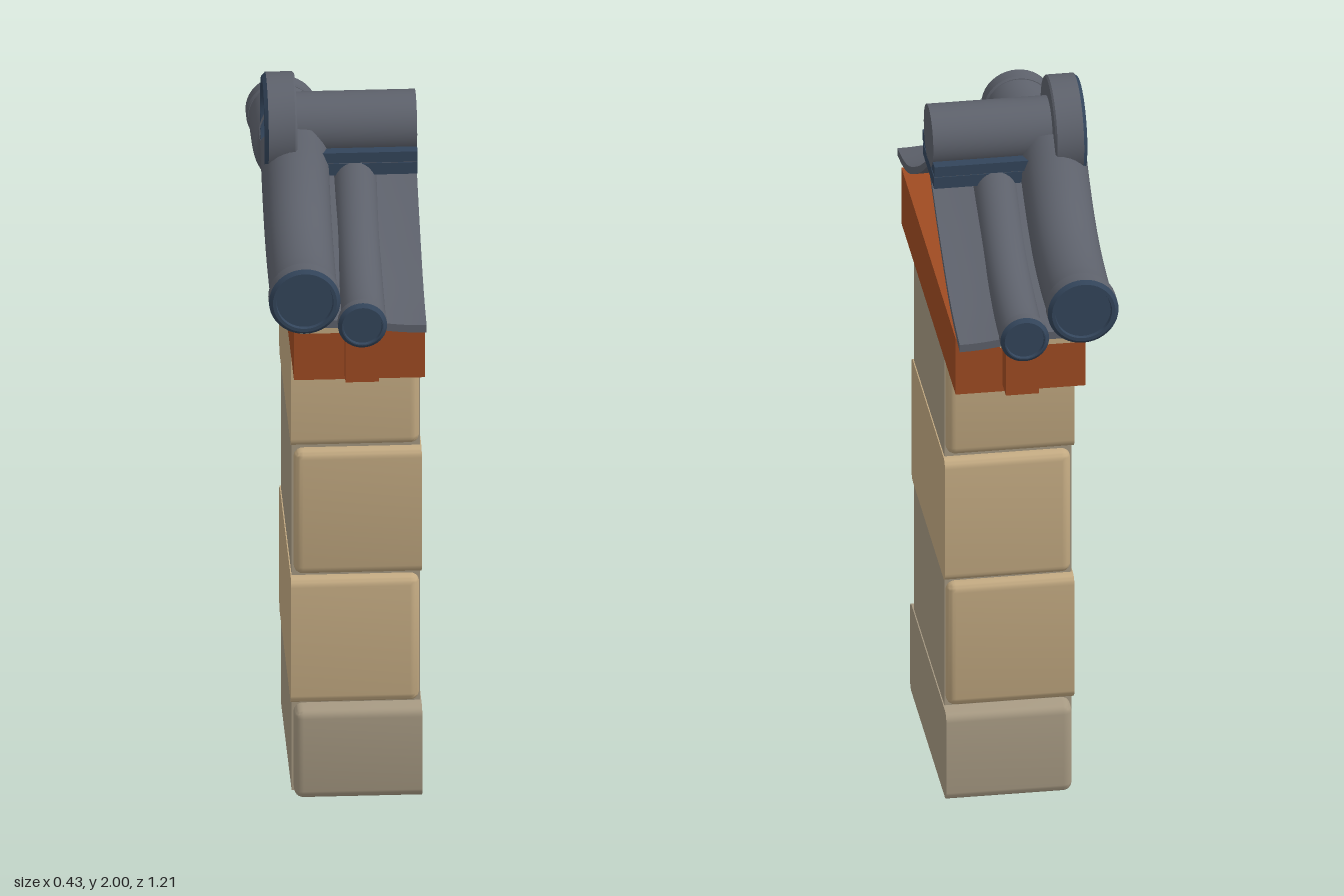
import * as THREE from 'three';
import { RoundedBoxGeometry } from 'three/addons/geometries/RoundedBoxGeometry.js';
import { toCreasedNormals } from 'three/addons/utils/BufferGeometryUtils.js';

const paint = (name, color, side = THREE.FrontSide) => {
  const m = new THREE.MeshStandardMaterial({ color, side });
  m.name = name;
  return m;
};

export function createModel() {
  const model = new THREE.Group();
  model.name = 'wallPillar';
  const tan = paint('sandstone', 0xc2a981);
  const stone = paint('greyStone', 0xa69982);
  const wood = paint('redWood', 0x9f4b22);
  const slate = paint('slateTile', 0x5d616b, THREE.DoubleSide);
  const navy = paint('navyTile', 0x33455b);

  const add = (name, geometry, material, x = 0, y = 0, z = 0) => {
    const mesh = new THREE.Mesh(geometry, material);
    mesh.name = name;
    mesh.position.set(x, y, z);
    model.add(mesh);
    return mesh;
  };
  // Box given by its limits
  const block = (name, mat, x0, x1, y0, y1, z0, z1) =>
    add(name, new THREE.BoxGeometry(x1 - x0, y1 - y0, z1 - z0), mat,
      (x0 + x1) / 2, (y0 + y1) / 2, (z0 + z1) / 2);

  // Rounded stone; one end is flattened where the wall is cut flush
  const course = (name, mat, x0, x1, y0, y1, hz, cutLeft) => {
    const extra = 0.05;
    const a = cutLeft ? x0 : x0 - extra;
    const b = cutLeft ? x1 + extra : x1;
    let g = new RoundedBoxGeometry(b - a, y1 - y0, hz * 2, 3, 0.025);
    g.translate((a + b) / 2, (y0 + y1) / 2, 0);
    const p = g.attributes.position;
    for (let i = 0; i < p.count; i++) p.setX(i, THREE.MathUtils.clamp(p.getX(i), x0, x1));
    g.computeVertexNormals();
    add(name, toCreasedNormals(g, 0.6), mat);
  };

  // Pillar
  block('pillarCore', stone, -0.137, 0.208, 0.005, 1.34, -0.27, 0.27);
  course('baseStone', stone, -0.132, 0.211, 0, 0.265, 0.325, true);
  course('lowerStone', tan, -0.14, 0.205, 0.272, 0.645, 0.3, false);
  course('middleStone', tan, -0.132, 0.211, 0.655, 1.025, 0.3, true);
  course('upperStone', tan, -0.14, 0.205, 1.038, 1.37, 0.3, false);

  // Beam with a small bracket at each end
  block('beam', wood, -0.142, 0.21, 1.33, 1.5, -0.485, 0.485);

  const curve = (pts) => new THREE.CatmullRomCurve3(pts.map(([z, y]) => new THREE.Vector3(0, y, z)));
  const bigPath = [[0.03, 1.82], [0.1, 1.755], [0.2, 1.685], [0.3, 1.642], [0.4, 1.62], [0.5, 1.612], [0.58, 1.617]];
  const smallPath = [[0.02, 1.775], [0.1, 1.712], [0.2, 1.645], [0.3, 1.593], [0.4, 1.56], [0.5, 1.54], [0.575, 1.535]];
  const panTop = [[0, 1.79], [0.1, 1.72], [0.19, 1.663], [0.35, 1.577], [0.45, 1.542], [0.557, 1.52]];

  // Round end tile along z: slate collar, navy face with a raised rim
  const lathe = (pts) => new THREE.LatheGeometry(pts.map(([r, h]) => new THREE.Vector2(r, h)), 40);
  const endTile = (name, r, depth) => {
    const g = new THREE.Group();
    g.name = name;
    const collar = new THREE.Mesh(toCreasedNormals(
      lathe([[0, 0], [r - 0.005, 0], [r, 0.005], [r, depth - 0.01]]), 0.6), slate);
    const face = new THREE.Mesh(toCreasedNormals(
      lathe([[r, depth - 0.01], [r - 0.01, depth], [r * 0.8, depth], [r * 0.78, depth - 0.01], [0, depth - 0.01]]), 0.5), navy);
    collar.name = 'collar';
    face.name = 'face';
    g.add(collar, face);
    g.rotation.x = Math.PI / 2;
    return g;
  };

  // Two mirrored roof slopes, each built towards +z or turned by s
  for (const s of [1, -1]) {
    const side = s > 0 ? 'front' : 'back';
    const flip = (pts) => pts.map(([z, y]) => [z * s, y]);

    block(side + 'Bracket', wood, -0.007, 0.083, 1.35, 1.508, s > 0 ? 0.4 : -0.547, s > 0 ? 0.547 : -0.4);

    add(side + 'EdgeTube', new THREE.TubeGeometry(curve(flip(bigPath)), 40, 0.091, 32), slate, -0.118);
    add(side + 'InnerTube', new THREE.TubeGeometry(curve(flip(smallPath)), 40, 0.06, 28), slate, 0.042);

    for (const [name, r, x, y, z, depth] of [['EdgeEndTile', 0.096, -0.119, 1.617, 0.552, 0.053],
      ['InnerEndTile', 0.066, 0.037, 1.535, 0.55, 0.04]]) {
      const tile = endTile(side + name, r, depth);
      tile.rotation.x *= s;
      tile.position.set(x, y, z * s);
      model.add(tile);
    }

    // Curved pan sheet swept along x, dipping towards the cut end
    const top = curve(flip(panTop)).getPoints(20).map((v) => new THREE.Vector2(v.z, v.y));
    const under = top.map((v) => new THREE.Vector2(v.x, v.y - 0.022)).reverse();
    const pan = new THREE.ExtrudeGeometry(new THREE.Shape([...top, ...under]),
      { depth: 0.34, steps: 10, bevelEnabled: false });
    pan.rotateY(-Math.PI / 2).translate(0.21, 0, 0);
    const p = pan.attributes.position;
    for (let i = 0; i < p.count; i++) {
      const t = Math.min((0.21 - p.getX(i)) / 0.17, 1);
      p.setY(i, p.getY(i) + 0.02 * t * t);
    }
    pan.computeVertexNormals();
    add(side + 'PanTile', toCreasedNormals(pan, 0.6), slate);
    // Pale mortar line at the eave
    block(side + 'EaveMortar', tan, -0.13, 0.1, 1.5, 1.53, s > 0 ? 0.47 : -0.552, s > 0 ? 0.552 : -0.47);
  }

  // Ridge: two flat layers, a round cap and a large end disc
  block('ridgeLowerLayer', navy, -0.05, 0.21, 1.75, 1.784, -0.1, 0.1);
  block('ridgeUpperLayer', navy, -0.05, 0.21, 1.79, 1.82, -0.108, 0.108);
  block('ridgeJoint', slate, -0.045, 0.208, 1.78, 1.794, -0.098, 0.098);
  const ridge = add('ridgeCap', new THREE.CylinderGeometry(0.086, 0.086, 0.33, 40), slate, 0.045, 1.859, 0);
  ridge.rotation.z = Math.PI / 2;
  const disc = endTile('ridgeEndDisc', 0.14, 0.087);
  disc.rotation.set(0, 0, Math.PI / 2);
  disc.position.set(-0.114, 1.86, 0);
  model.add(disc);

  return model;
}
